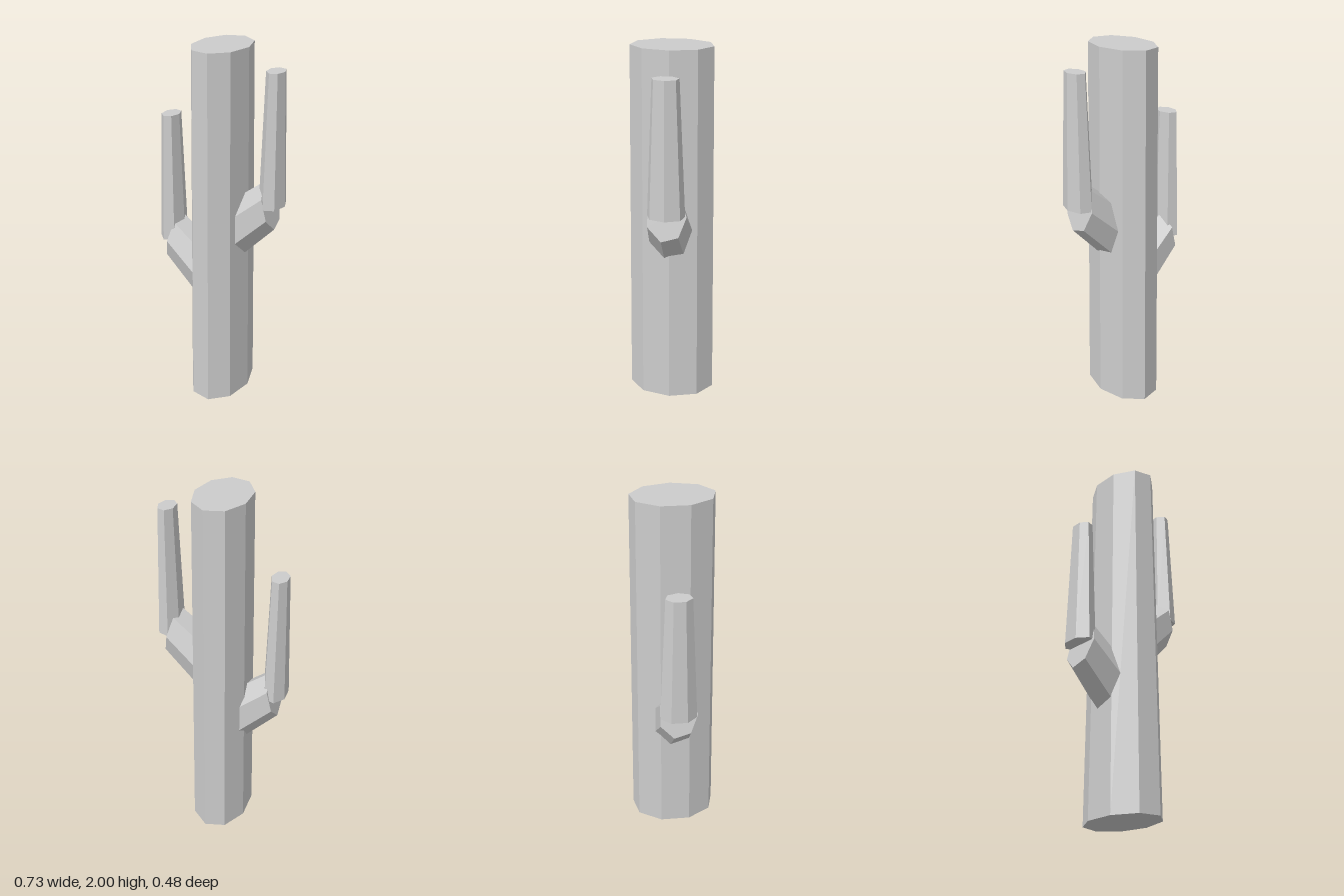
import * as THREE from 'three';

const SQUASH = 0.683; // plan is narrower in x than in z

// Faceted tapering post with one corner pointing to +x
function post(name, sides, rTop, rBottom, y0, y1, x, material) {
  const g = new THREE.CylinderGeometry(rTop, rBottom, y1 - y0, sides, 1, false, Math.PI / 2)
    .scale(SQUASH, 1, 1)
    .translate(x, (y0 + y1) / 2, 0);
  return facet(name, g, material);
}

// Flat normals per face
function facet(name, geometry, material) {
  const g = geometry.toNonIndexed();
  g.computeVertexNormals();
  const mesh = new THREE.Mesh(g, material);
  mesh.name = name;
  return mesh;
}

// Slanted, sheared seven-sided branch growing from inside the trunk
function elbow(name, material) {
  const start = new THREE.Vector3(0.02, 0.95, 0);
  const end = new THREE.Vector3(0.284, 1.185, 0);
  const g = new THREE.CylinderGeometry(0.106, 0.13, 1, 7, 1, false, Math.PI);
  const m = new THREE.Matrix4().makeBasis(
    new THREE.Vector3(0.302, -1.274, 0),
    end.clone().sub(start),
    new THREE.Vector3(0, 0, 1)
  );
  m.setPosition(start.add(end).multiplyScalar(0.5));
  return facet(name, g.applyMatrix4(m), material);
}

export function createModel() {
  const model = new THREE.Group();
  model.name = 'cactus';
  const skin = new THREE.MeshStandardMaterial({ color: 0xcccccc });
  skin.name = 'plain grey';

  model.add(post('trunk', 9, 0.2155, 0.243, 0, 2, -0.0015, skin));

  // Two arms: the right one sits lower, its elbow turned half round
  const arms = [
    { side: 'left', turn: 0, shift: 0, drop: 0, x: 0.294 },
    { side: 'right', turn: Math.PI, shift: -0.011, drop: 0.3, x: -0.305 },
  ];
  for (const { side, turn, shift, drop, x } of arms) {
    const arm = new THREE.Group();
    arm.name = side + 'Arm';
    const branch = elbow(side + 'Elbow', skin);
    branch.rotation.y = turn;
    branch.position.set(shift, -drop, 0);
    arm.add(branch, post(side + 'Upright', 7, 0.069, 0.1, 1.187 - drop, 1.9 - drop, x, skin));
    model.add(arm);
  }
  return model;
}
